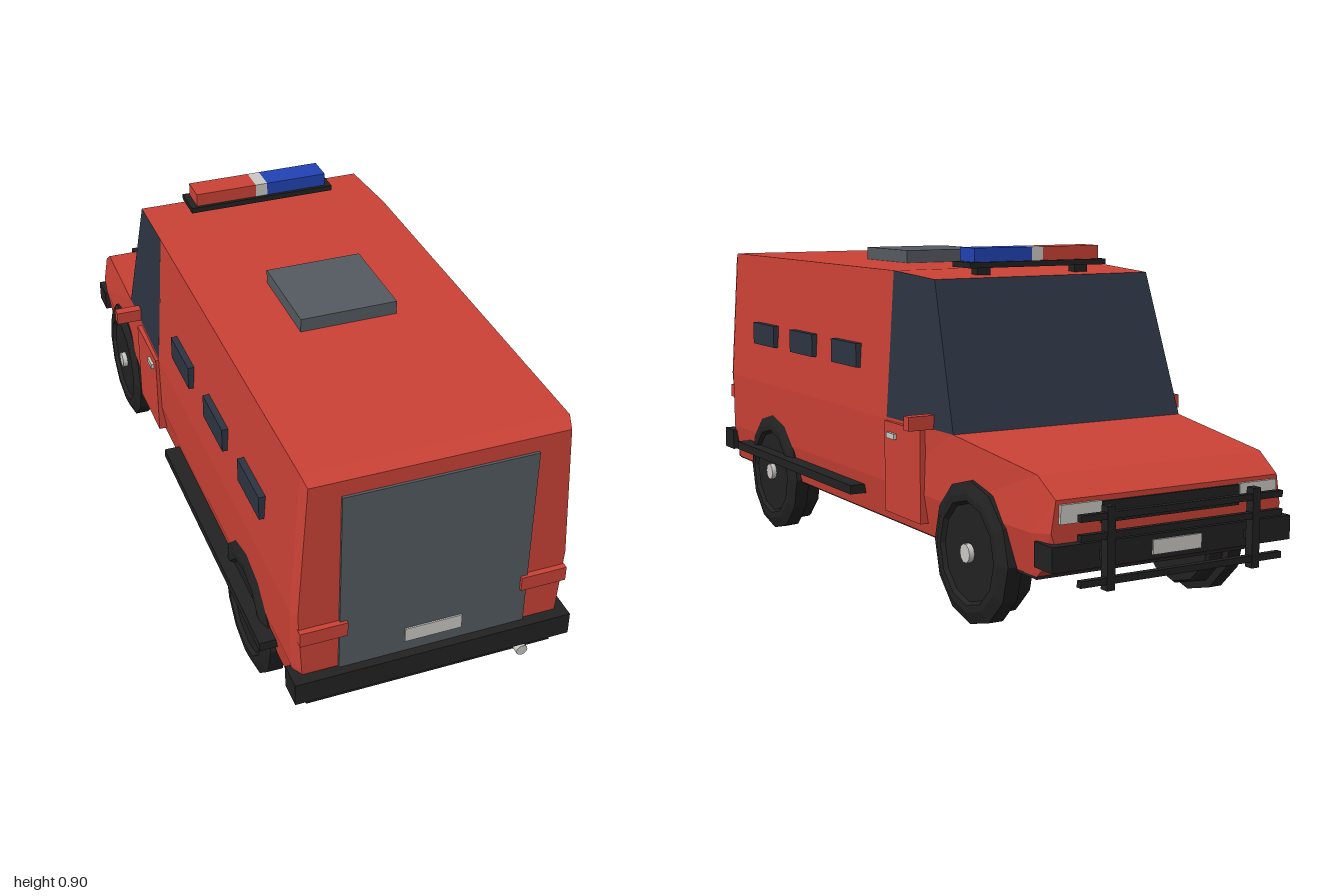
import * as THREE from 'three';

const mat = (name, color) => {
  const m = new THREE.MeshStandardMaterial({ color });
  m.name = name;
  return m;
};

export function createModel() {
  const red = mat('bodyRed', 0xcc4236);
  const glass = mat('darkGlass', 0x2d3542);
  const black = mat('blackTrim', 0x222222);
  const grey = mat('panelGrey', 0x555b62);
  const silver = mat('lightGrey', 0xcccac6);
  const blue = mat('beaconBlue', 0x2143b4);

  const model = new THREE.Group();
  model.name = 'rescueVan';

  const add = (name, geometry, material, parent = model) => {
    const mesh = new THREE.Mesh(geometry, material);
    mesh.name = name;
    parent.add(mesh);
    return mesh;
  };

  // Box given by its extents on each axis
  const box = (name, material, [x0, x1], [y0, y1], [z0, z1]) => {
    const g = new THREE.BoxGeometry(Math.abs(x1 - x0), y1 - y0, Math.abs(z1 - z0));
    g.translate((x0 + x1) / 2, (y0 + y1) / 2, (z0 + z1) / 2);
    return add(name, g, material);
  };

  // Faceted surface from a list of quads, corners counter-clockwise from outside
  const quads = (list) => {
    const pos = [];
    for (const [a, b, c, d] of list) pos.push(...a, ...b, ...c, ...a, ...c, ...d);
    const g = new THREE.BufferGeometry();
    g.setAttribute('position', new THREE.Float32BufferAttribute(pos, 3));
    g.computeVertexNormals();
    return g;
  };

  // Loft of symmetric sections, back to nose: [z, [halfWidth, y] from bottom to top]
  const loft = (sections) => {
    const rings = sections.map(([z, half]) => [
      ...half.map(([x, y]) => [x, y, z]),
      ...half.slice().reverse().map(([x, y]) => [-x, y, z]),
    ]);
    const list = [];
    const n = rings[0].length;
    for (let i = 0; i < rings.length - 1; i++) {
      for (let j = 0; j < n; j++) {
        const k = (j + 1) % n;
        list.push([rings[i][j], rings[i + 1][j], rings[i + 1][k], rings[i][k]]);
      }
    }
    const first = rings[0], last = rings[rings.length - 1];
    for (let j = 0; j < n / 2 - 1; j++) {
      list.push([first[j], first[j + 1], first[n - 2 - j], first[n - 1 - j]]);
      list.push([last[n - 1 - j], last[n - 2 - j], last[j + 1], last[j]]);
    }
    return quads(list);
  };

  // Rear compartment with chamfered back edges
  const full = [[0.335, 0.175], [0.352, 0.28], [0.354, 0.45], [0.33, 0.84]];
  add('rearBody', loft([
    [0.97, [[0.325, 0.175], [0.335, 0.28], [0.345, 0.45], [0.322, 0.82]]],
    [0.94, full],
    [-0.17, full],
  ]), red);

  // Lower cab and sloping hood
  add('hoodBody', loft([
    [-0.17, [[0.335, 0.175], [0.352, 0.28], [0.354, 0.455]]],
    [-0.515, [[0.335, 0.175], [0.352, 0.28], [0.345, 0.455]]],
    [-0.87, [[0.325, 0.175], [0.342, 0.28], [0.325, 0.412]]],
    [-0.94, [[0.315, 0.24], [0.332, 0.29], [0.32, 0.365]]],
  ]), red);

  // Cab glasshouse
  const P = (s, i) => {
    const [x, y, z] = [[0.354, 0.455, -0.17], [0.33, 0.84, -0.17],
      [0.325, 0.828, -0.385], [0.345, 0.455, -0.515]][i];
    return [s * x, y, z];
  };
  add('windshield', quads([[P(1, 3), P(-1, 3), P(-1, 2), P(1, 2)]]), glass);
  add('cabSideWindows', quads([
    [P(1, 0), P(1, 3), P(1, 2), P(1, 1)],
    [P(-1, 1), P(-1, 2), P(-1, 3), P(-1, 0)],
  ]), glass);
  add('cabRoof', quads([[P(1, 1), P(1, 2), P(-1, 2), P(-1, 1)]]), red);

  // Underside
  box('floor', black, [-0.325, 0.325], [0.168, 0.178], [-0.87, 0.965]);
  box('rearSkirt', black, [-0.325, 0.325], [0.17, 0.21], [0.965, 0.975]);

  // Back door, plate, bumper, exhaust
  box('backDoor', grey, [-0.243, 0.243], [0.262, 0.778], [0.965, 0.977]);
  box('backPlate', silver, [-0.075, 0.073], [0.297, 0.337], [0.976, 0.981]);
  box('rearBumper', black, [-0.362, 0.362], [0.203, 0.265], [0.93, 1]);
  const exhaust = add('exhaust', new THREE.CylinderGeometry(0.015, 0.015, 0.08, 12), silver);
  exhaust.rotation.x = Math.PI / 2;
  exhaust.position.set(0.24, 0.177, 0.955);

  // Nose: grille, plate, bumper and bull bar
  box('grille', black, [-0.2, 0.2], [0.302, 0.352], [-0.946, -0.935]);
  box('frontBumper', black, [-0.345, 0.345], [0.205, 0.265], [-0.965, -0.89]);
  box('frontPlate', silver, [-0.07, 0.07], [0.217, 0.252], [-0.97, -0.964]);
  for (const y of [0.33, 0.285, 0.18]) {
    box('bullBarRail', black, [-0.29, 0.29], [y - 0.008, y + 0.008], [-0.998, -0.982]);
  }

  // Tyre and rim profile: radius, distance from the centre line
  const tyre = new THREE.LatheGeometry([
    [0, 0.262], [0.15, 0.262], [0.156, 0.27], [0.158, 0.31], [0.178, 0.312], [0.178, 0.352],
    [0.148, 0.363], [0.13, 0.363], [0.122, 0.353], [0, 0.353],
  ].map(([r, a]) => new THREE.Vector2(r, a)), 12).toNonIndexed();
  tyre.computeVertexNormals();
  const hub = new THREE.CylinderGeometry(0.024, 0.024, 0.02, 10);
  hub.translate(0, 0.357, 0);

  // Parts mirrored on both sides
  for (const s of [1, -1]) {
    const X = (a, b) => [s * a, s * b];
    for (const z of [0.615, -0.61]) {
      const wheel = new THREE.Group();
      wheel.name = 'wheel';
      add('tyre', tyre, black, wheel);
      add('hubCap', hub, silver, wheel);
      wheel.rotation.z = -s * Math.PI / 2;
      wheel.position.set(0, 0.18, z);
      model.add(wheel);
    }
    for (const z of [0.58, 0.295, 0.002]) {
      box('sideWindow', glass, X(0.34, 0.36), [0.568, 0.634], [z, z + 0.162]);
    }
    box('cabDoor', red, X(0.335, 0.363), [0.205, 0.447], [-0.375, -0.175]);
    box('doorHandle', silver, X(0.36, 0.371), [0.405, 0.42], [-0.243, -0.2]);
    box('mirror', red, X(0.345, 0.418), [0.455, 0.491], [-0.418, -0.39]);
    box('sideStep', black, X(0.33, 0.39), [0.222, 0.247], [-0.018, 0.82]);
    box('tailLamp', red, X(0.225, 0.345), [0.37, 0.41], [0.962, 0.985]);
    box('headlamp', silver, X(0.2, 0.312), [0.31, 0.355], [-0.948, -0.93]);
    box('bullBarPost', black, X(0.198, 0.22), [0.157, 0.352], [-1, -0.975]);
    box('bullBarMount', black, X(0.2, 0.218), [0.225, 0.245], [-0.98, -0.95]);
    box('beaconFoot', black, X(0.13, 0.17), [0.825, 0.855], [-0.33, -0.3]);
  }

  // Roof hatch and beacon bar
  box('roofHatch', grey, [-0.13, 0.128], [0.838, 0.876], [0.142, 0.4]);
  box('beaconBase', black, [-0.21, 0.208], [0.851, 0.866], [-0.36, -0.267]);
  box('redBeacon', red, [-0.192, -0.018], [0.866, 0.902], [-0.35, -0.276]);
  box('beaconCentre', silver, [-0.018, 0.016], [0.866, 0.902], [-0.35, -0.276]);
  box('blueBeacon', blue, [0.016, 0.19], [0.866, 0.902], [-0.35, -0.276]);

  return model;
}
